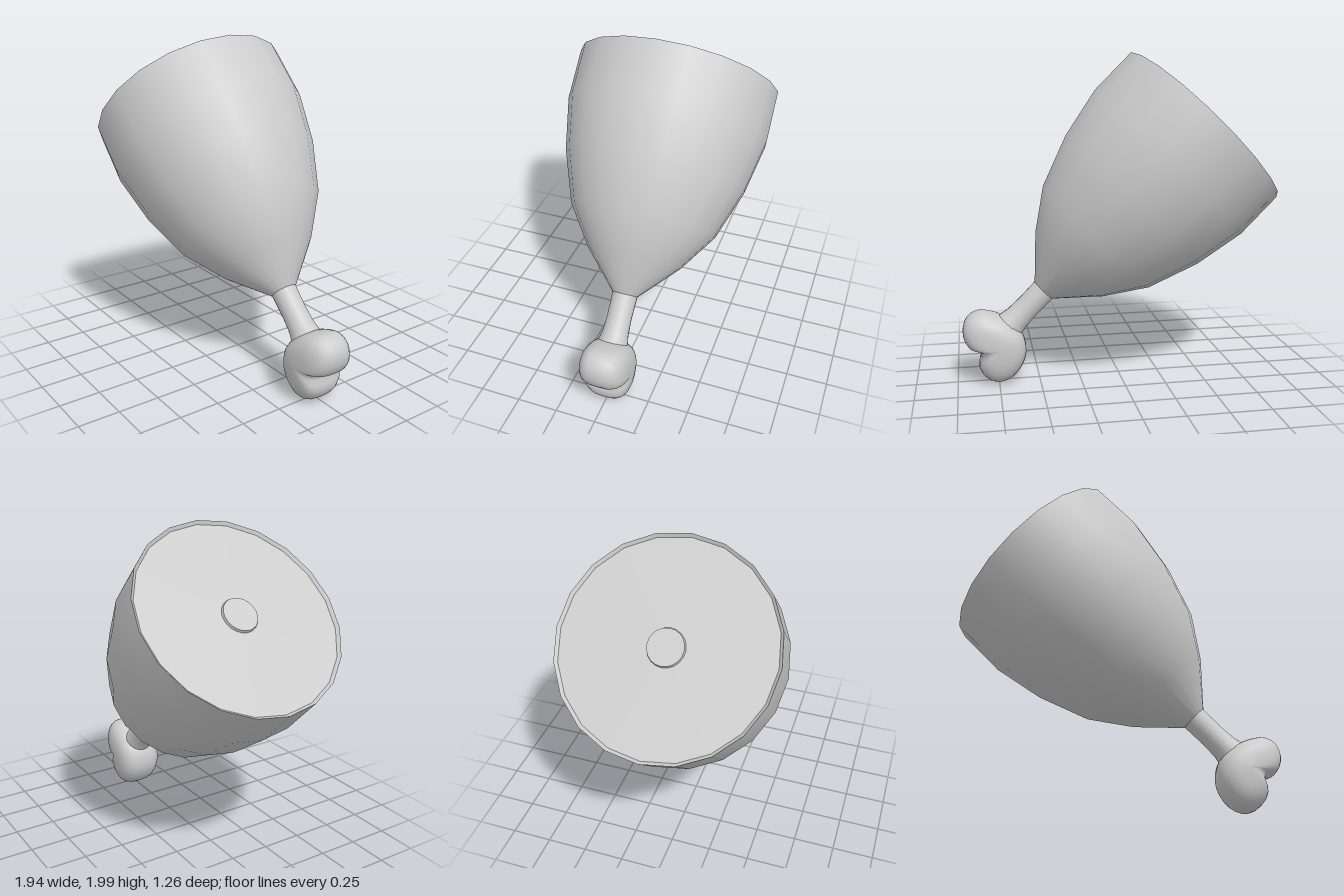
import * as THREE from 'three';

const material = new THREE.MeshStandardMaterial({ color: 0xcccccc });

// Surface of revolution from [radius, height] pairs, listed bottom to top
function turned(name, profile, segments = 20) {
  const points = profile.map(([r, y]) => new THREE.Vector2(r, y));
  const mesh = new THREE.Mesh(new THREE.LatheGeometry(points, segments), material);
  mesh.name = name;
  return mesh;
}

// Two-lobed knuckle: a closed outline swelling to a rounded thickness in z
function knuckle() {
  const cx = 0.745, cy = 0.235, depth = 0.15, around = 36, rows = 14;
  const outline = [
    [0.74, 0.42], [0.66, 0.37], [0.6, 0.3], [0.58, 0.19], [0.61, 0.1], [0.68, 0.025],
    [0.76, 0.005], [0.83, 0.04], [0.87, 0.11], [0.855, 0.205], [0.93, 0.235],
    [0.965, 0.32], [0.94, 0.41], [0.87, 0.45], [0.8, 0.44],
  ].map(([x, y]) => new THREE.Vector3(x - cx, y - cy, 0));
  const ring = new THREE.CatmullRomCurve3(outline, true).getSpacedPoints(around).slice(0, around);
  const positions = [], index = [];
  for (let j = 0; j <= rows; j++) {
    const a = (j / rows - 0.5) * Math.PI;
    const scale = Math.pow(Math.max(Math.cos(a), 0), 0.7);
    const z = depth * Math.sign(a) * Math.pow(Math.abs(Math.sin(a)), 0.7);
    for (const p of ring) positions.push(p.x * scale, p.y * scale, z);
  }
  for (let j = 0; j < rows; j++) {
    for (let i = 0; i < around; i++) {
      const a = j * around + i, b = j * around + (i + 1) % around;
      const c = a + around, d = b + around;
      // the end rows collapse to a point, so one triangle is enough there
      if (j > 0) index.push(a, b, d);
      if (j < rows - 1) index.push(a, d, c);
    }
  }
  const geometry = new THREE.BufferGeometry();
  geometry.setAttribute('position', new THREE.Float32BufferAttribute(positions, 3));
  geometry.setIndex(index);
  geometry.computeVertexNormals();
  const mesh = new THREE.Mesh(geometry, material);
  mesh.name = 'boneKnuckle';
  mesh.position.set(cx, cy, 0);
  return mesh;
}

export function createModel() {
  const model = new THREE.Group();
  model.name = 'meatOnBone';

  // Turned parts share one axis, tilted 45 degrees, with the cut face at its origin
  const leg = new THREE.Group();
  leg.name = 'leg';
  leg.position.set(-0.525, 1.555, 0);
  leg.rotation.z = Math.PI / 4;
  leg.add(
    turned('meat', [
      [0.078, -1.4], [0.29, -1.174], [0.4525, -0.94], [0.566, -0.629], [0.63, -0.311], [0.63, 0],
    ]),
    // Bevelled rim and slightly sunken cut face
    turned('cutRim', [[0.63, 0], [0.612, -0.018]]),
    turned('cutFace', [[0.612, -0.018], [0, -0.018]]),
    // Bone end showing in the cut
    turned('boneEndSide', [[0.11, -0.02], [0.105, -0.002]]),
    turned('boneEndFace', [[0.105, -0.002], [0, -0.002]]),
    // Shaft, flaring into the knuckle
    turned('boneShaft', [
      [0.11, -1.77], [0.092, -1.697], [0.08, -1.64], [0.075, -1.54], [0.078, -1.38],
    ], 16),
  );

  model.add(leg, knuckle());
  return model;
}
